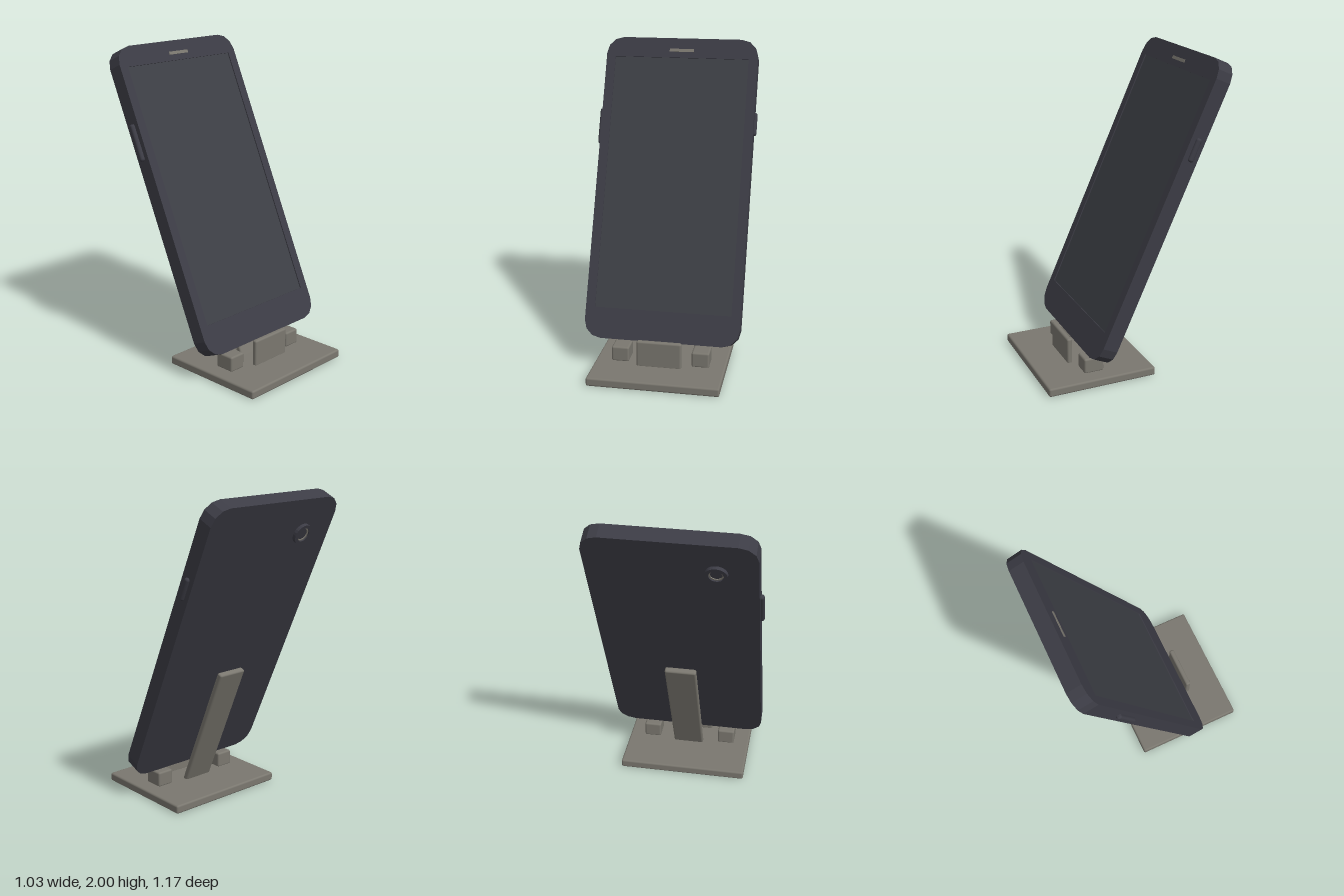
import * as THREE from 'three';
import { RoundedBoxGeometry } from 'three/addons/geometries/RoundedBoxGeometry.js';

const material = (name, color) => {
  const m = new THREE.MeshStandardMaterial({ color });
  m.name = name;
  return m;
};

export function createModel() {
  const bodyMat = material('dark slate', 0x3c3c45);
  const screenMat = material('screen grey', 0x3d3f45);
  const standMat = material('warm grey', 0x7a776f);

  const model = new THREE.Group();
  model.name = 'phoneOnStand';

  const add = (parent, name, geometry, mat, x, y, z) => {
    const mesh = new THREE.Mesh(geometry, mat);
    mesh.name = name;
    mesh.position.set(x, y, z);
    parent.add(mesh);
    return mesh;
  };
  const box = (w, h, d, r = 0.012) => new RoundedBoxGeometry(w, h, d, 2, r);

  // Stand: base plate, front lip, two rests and a leaning back strut
  const stand = new THREE.Group();
  stand.name = 'stand';
  model.add(stand);
  add(stand, 'basePlate', box(0.83, 0.055, 0.715), standMat, 0, 0.0275, 0.2275);
  add(stand, 'frontLip', box(0.285, 0.175, 0.034), standMat, 0, 0.133, 0.343);
  for (const side of [-1, 1]) {
    add(stand, 'rest', box(0.112, 0.1, 0.13), standMat, side * 0.257, 0.1, 0.247);
  }
  const strut = add(stand, 'backStrut', box(0.2, 0.9, 0.04), standMat, 0, 0.448, 0.009);
  strut.rotation.x = -0.405;

  // Phone: modelled upright, then leaned back
  const phone = new THREE.Group();
  phone.name = 'phone';
  phone.position.set(0, 1.08, -0.14);
  phone.rotation.x = -0.421;
  model.add(phone);

  const W = 0.497, H = 0.985, R = 0.11;
  const outline = () => {
    const s = new THREE.Shape();
    [[1, 1, 0], [-1, 1, 1], [-1, -1, 2], [1, -1, 3]].forEach(([sx, sy, q]) => {
      for (let i = 0; i <= 3; i++) {
        const a = (q + i / 3) * Math.PI / 2;
        const x = sx * (W - R) + R * Math.cos(a), y = sy * (H - R) + R * Math.sin(a);
        if (q === 0 && i === 0) s.moveTo(x, y); else s.lineTo(x, y);
      }
    });
    s.closePath();
    return s;
  };
  const slab = (shape, depth) => new THREE.ExtrudeGeometry(shape, { depth, bevelEnabled: false });

  // Back shell and a front bezel with the screen opening
  const SW = 0.438, TOP = 0.855, BOTTOM = -0.79;
  add(phone, 'backShell', slab(outline(), 0.088), bodyMat, 0, 0, -0.05);
  const bezel = outline();
  bezel.holes.push(new THREE.Path([[-SW, BOTTOM], [-SW, TOP], [SW, TOP], [SW, BOTTOM]]
    .map(([x, y]) => new THREE.Vector2(x, y))));
  add(phone, 'frontBezel', slab(bezel, 0.012), bodyMat, 0, 0, 0.038);
  add(phone, 'screen', new THREE.BoxGeometry(2 * SW, TOP - BOTTOM, 0.006), screenMat,
    0, (TOP + BOTTOM) / 2, 0.04);
  add(phone, 'earpiece', new THREE.BoxGeometry(0.16, 0.02, 0.006), standMat, 0, 0.904, 0.05);

  // Side keys
  add(phone, 'longKey', box(0.05, 0.235, 0.036, 0.015), bodyMat, -0.495, 0.395, 0);
  add(phone, 'shortKey', box(0.05, 0.15, 0.036, 0.015), bodyMat, 0.49, 0.443, 0);

  // Rear camera: raised ring, lighter inner sleeve and lens
  const camera = new THREE.Group();
  camera.name = 'rearCamera';
  camera.position.set(-0.26, 0.75, -0.05);
  camera.rotation.x = -Math.PI / 2;
  phone.add(camera);
  const ring = (inner, outer, height) => new THREE.LatheGeometry(
    [[inner, 0], [outer, 0], [outer, height], [inner, height], [inner, 0]]
      .map(([r, y]) => new THREE.Vector2(r, y)), 24).toNonIndexed();
  const ringGeo = ring(0.044, 0.066, 0.022);
  ringGeo.computeVertexNormals();
  add(camera, 'cameraRing', ringGeo, bodyMat, 0, 0, 0);
  const sleeveGeo = ring(0.036, 0.044, 0.014);
  sleeveGeo.computeVertexNormals();
  add(camera, 'lensSleeve', sleeveGeo, standMat, 0, 0, 0);
  add(camera, 'lens', new THREE.CylinderGeometry(0.036, 0.036, 0.008, 24), bodyMat, 0, 0.004, 0);

  return model;
}
